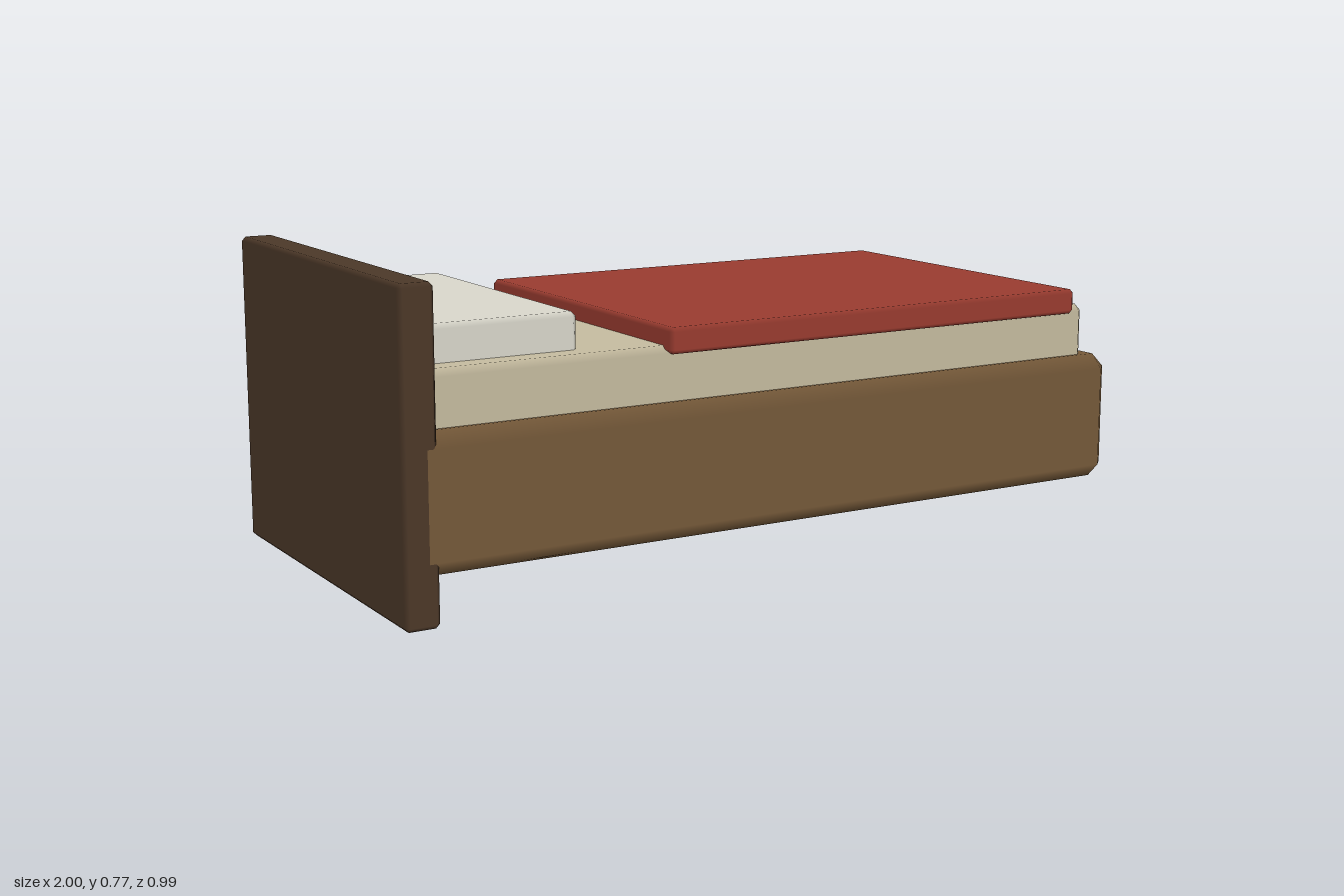
import * as THREE from 'three';

// Box with a single-segment bevel; face normals are shared so the bevels shade smoothly
function bevelBox(w, h, d, r) {
  const half = [w / 2, h / 2, d / 2];
  const positions = [], normals = [], indices = [];
  const id = (axis, s) => axis * 8 + (s[0] > 0 ? 4 : 0) + (s[1] > 0 ? 2 : 0) + (s[2] > 0 ? 1 : 0);
  const signs = [];
  for (const x of [-1, 1]) for (const y of [-1, 1]) for (const z of [-1, 1]) signs.push([x, y, z]);

  // Four corners for each face, held by its axis
  for (let axis = 0; axis < 3; axis++) {
    for (const s of signs) {
      s.forEach((v, i) => {
        positions.push(v * (half[i] - (i === axis ? 0 : r)));
        normals.push(i === axis ? v : 0);
      });
    }
  }

  // Adds a triangle, turned to face away from the centre
  const point = (i) => new THREE.Vector3().fromArray(positions, i * 3);
  const tri = (a, b, c) => {
    const A = point(a), n = point(b).sub(A).cross(point(c).sub(A));
    indices.push(...(n.dot(A) > 0 ? [a, b, c] : [a, c, b]));
  };
  const quad = (a, b, c, e) => { tri(a, b, c); tri(a, c, e); };

  for (let a = 0; a < 3; a++) {
    const b = (a + 1) % 3, c = (a + 2) % 3;
    const at = (sa, sb, sc) => { const s = []; s[a] = sa; s[b] = sb; s[c] = sc; return s; };
    for (const p of [-1, 1]) {
      // Flat face across axis a
      quad(id(a, at(p, -1, -1)), id(a, at(p, 1, -1)), id(a, at(p, 1, 1)), id(a, at(p, -1, 1)));
      // Bevels running along axis a
      for (const q of [-1, 1]) {
        const s0 = at(-1, p, q), s1 = at(1, p, q);
        quad(id(b, s0), id(b, s1), id(c, s1), id(c, s0));
      }
    }
  }
  // Corner triangles
  for (const s of signs) tri(id(0, s), id(1, s), id(2, s));

  const geometry = new THREE.BufferGeometry();
  geometry.setAttribute('position', new THREE.Float32BufferAttribute(positions, 3));
  geometry.setAttribute('normal', new THREE.Float32BufferAttribute(normals, 3));
  geometry.setIndex(indices);
  return geometry;
}

// name, colour, x range, y range, half depth, bevel
const parts = [
  ['headboard', 0x4c3828, [-1, -0.915], [0, 0.769], 0.492, 0.01],
  ['bedFrame', 0x755939, [-0.975, 1], [0.113, 0.439], 0.493, 0.036],
  ['mattress', 0xc6bca0, [-0.923, 0.938], [0.4, 0.57], 0.449, 0.017],
  ['pillow', 0xdad8cc, [-0.9, -0.513], [0.54, 0.658], 0.382, 0.012],
  ['blanket', 0x9a3c30, [-0.318, 0.888], [0.552, 0.615], 0.47, 0.01],
];

export function createModel() {
  const bed = new THREE.Group();
  bed.name = 'bed';
  for (const [name, color, [x0, x1], [y0, y1], z, bevel] of parts) {
    const mesh = new THREE.Mesh(
      bevelBox(x1 - x0, y1 - y0, z * 2, bevel),
      new THREE.MeshStandardMaterial({ color })
    );
    mesh.name = name;
    mesh.position.set((x0 + x1) / 2, (y0 + y1) / 2, 0);
    bed.add(mesh);
  }
  return bed;
}
